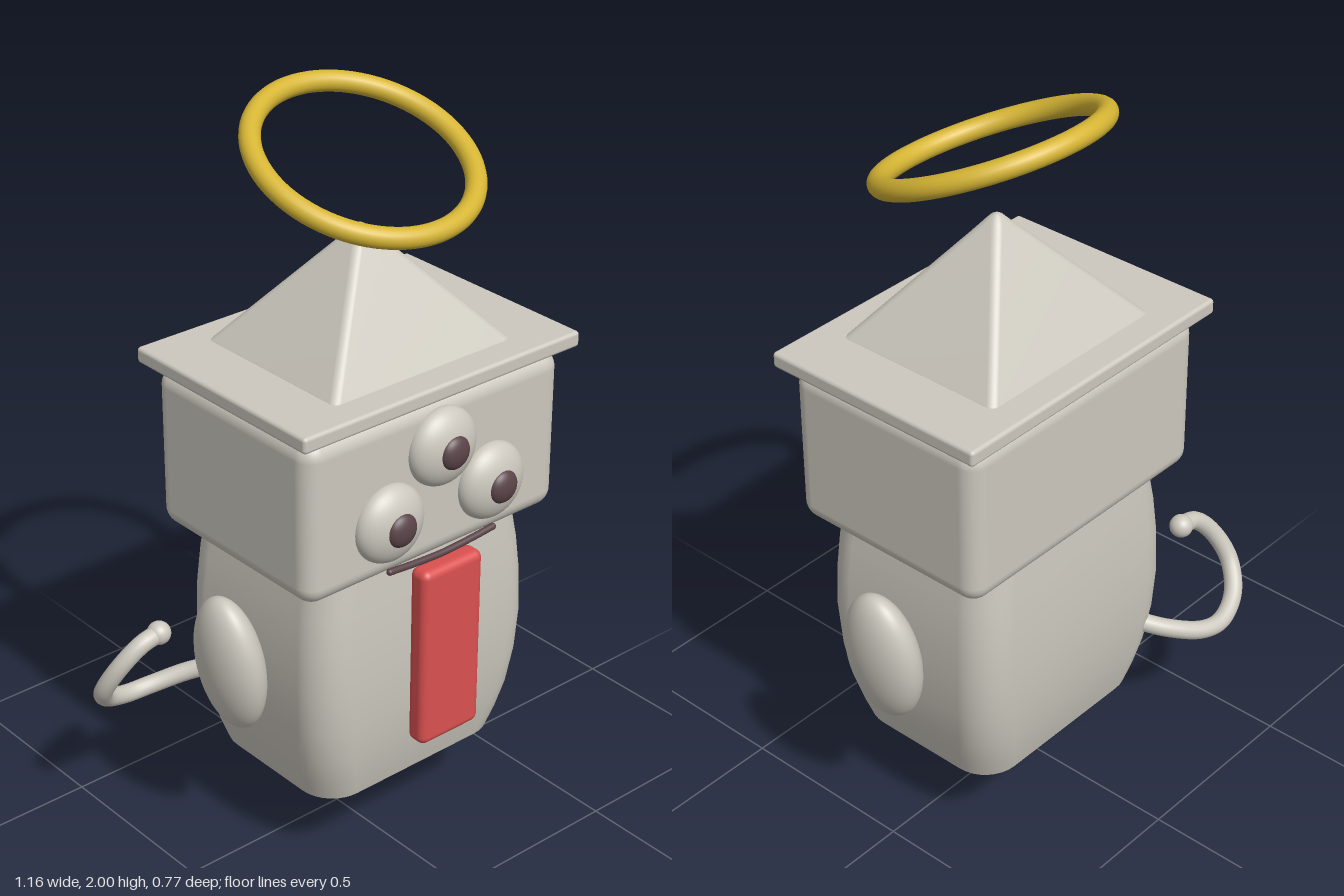
import * as THREE from 'three';
import { RoundedBoxGeometry } from 'three/addons/geometries/RoundedBoxGeometry.js';

const mat = (name, color) => new THREE.MeshStandardMaterial({ name, color });
const CX = 0.07, CZ = 0.005; // centre of the body

// Stacks rounded rectangles [y, halfX, halfZ, cornerRadius], with flat caps
function loft(sections, seg = 8) {
  const pos = [], idx = [], n = 4 * (seg + 1);
  const ring = ([y, hx, hz, r]) => {
    for (let q = 0; q < 4; q++) {
      const sx = q === 0 || q === 3 ? 1 : -1, sz = q < 2 ? 1 : -1;
      for (let k = 0; k <= seg; k++) {
        const t = (q + k / seg) * Math.PI / 2;
        pos.push(sx * (hx - r) + r * Math.cos(t), y, sz * (hz - r) + r * Math.sin(t));
      }
    }
  };
  sections.forEach(ring);
  for (let i = 0; i < sections.length - 1; i++) {
    for (let j = 0; j < n; j++) {
      const a = i * n + j, b = i * n + (j + 1) % n;
      idx.push(a, a + n, b, b, a + n, b + n);
    }
  }
  for (const [s, up] of [[sections[0], false], [sections[sections.length - 1], true]]) {
    const c = pos.length / 3;
    pos.push(0, s[0], 0);
    ring(s);
    for (let j = 0; j < n; j++) {
      const a = c + 1 + j, b = c + 1 + (j + 1) % n;
      if (up) idx.push(c, b, a); else idx.push(c, a, b);
    }
  }
  const g = new THREE.BufferGeometry();
  g.setAttribute('position', new THREE.Float32BufferAttribute(pos, 3));
  g.setIndex(idx);
  g.computeVertexNormals();
  return g;
}

export function createModel() {
  const model = new THREE.Group();
  const stone = mat('warm grey', 0xccc8be);
  const gold = mat('gold', 0xd6b534);
  const red = mat('tongue red', 0xd9504f);
  const dark = mat('dark plum', 0x5a4448);

  const add = (name, geo, material, x = 0, y = 0, z = 0) => {
    const m = new THREE.Mesh(geo, material);
    m.name = name;
    m.position.set(x, y, z);
    model.add(m);
    return m;
  };
  const ellipsoid = (name, material, p, r) => {
    const m = add(name, new THREE.SphereGeometry(1, 40, 28), material, ...p);
    m.scale.set(...r);
    return m;
  };
  const box = (name, material, p, [w, h, d], r) =>
    add(name, new RoundedBoxGeometry(w, h, d, 5, r), material, ...p);

  // Bulging body
  add('body', loft([
    [0.22, 0.309, 0.238, 0.1], [0.28, 0.327, 0.254, 0.1], [0.36, 0.347, 0.27, 0.1],
    [0.46, 0.361, 0.282, 0.1], [0.58, 0.368, 0.288, 0.1], [0.7, 0.364, 0.286, 0.1],
    [0.8, 0.354, 0.281, 0.1], [0.9, 0.338, 0.273, 0.1],
  ]), stone, CX, 0, CZ);

  // Pointed foot with a softened tip
  add('footCone', new THREE.LatheGeometry([
    [0, 0], [0.008, 0.003], [0.016, 0.012], [0.09, 0.107], [0.178, 0.22], [0.178, 0.23],
  ].map(([x, y]) => new THREE.Vector2(x, y)), 48), stone, CX, 0, CZ);

  // Head, brim and pyramid hat
  box('head', stone, [CX - 0.003, 1.108, 0.008], [0.838, 0.446, 0.598], 0.05);
  box('hatBrim', stone, [CX, 1.356, CZ], [0.9, 0.043, 0.65], 0.01);
  add('hatPyramid', loft([
    [1.37, 0.29, 0.245, 0.02], [1.38, 0.288, 0.243, 0.02], [1.64, 0.055, 0.048, 0.02],
    [1.672, 0.027, 0.025, 0.02], [1.684, 0.016, 0.015, 0.014], [1.69, 0.005, 0.005, 0.005],
  ]), stone, CX, 0, CZ);

  // Tilted halo
  const halo = add('halo', new THREE.TorusGeometry(0.281, 0.027, 20, 80), gold, CX, 1.862, 0.017);
  halo.rotation.x = Math.PI / 2 + 0.405;

  // Side arms, leaning outward at the top
  for (const [name, s] of [['leftArm', 1], ['rightArm', -1]]) {
    const arm = ellipsoid(name, stone, [CX + s * 0.432, 0.602, 0.007], [0.072, 0.2, 0.115]);
    arm.rotation.z = -s * 0.13;
  }

  // Three eyes
  for (const [name, x, y] of [['topEye', CX, 1.2], ['leftEye', 0.238, 1.046], ['rightEye', -0.1, 1.046]]) {
    ellipsoid(name, stone, [x, y, 0.31], [0.105, 0.105, 0.058]);
    ellipsoid(name + 'Pupil', dark, [x, y, 0.358], [0.045, 0.045, 0.025]);
  }

  // Mouth line and hanging tongue
  const tube = (name, pts, r, material) => add(name, new THREE.TubeGeometry(
    new THREE.CatmullRomCurve3(pts.map(p => new THREE.Vector3(...p))), 64, r, 16), material);
  const mouth = [[-0.105, 0.914, 0.323], [-0.02, 0.907, 0.323], [CX, 0.903, 0.323],
    [0.16, 0.907, 0.323], [0.242, 0.914, 0.323]];
  tube('mouth', mouth, 0.009, dark);
  for (const i of [0, 4]) ellipsoid('mouthCorner', dark, mouth[i], [0.009, 0.009, 0.009]);
  box('tongue', red, [0.067, 0.64, 0.343], [0.2, 0.514, 0.063], 0.022);

  // Curled tail with a ball end
  const tail = [[-0.2, 0.42, -0.225], [-0.27, 0.385, -0.3], [-0.36, 0.353, -0.352],
    [-0.43, 0.35, -0.362], [-0.51, 0.385, -0.338], [-0.553, 0.45, -0.288],
    [-0.53, 0.535, -0.242], [-0.475, 0.592, -0.22], [-0.418, 0.605, -0.22]];
  tube('tail', tail, 0.025, stone);
  ellipsoid('tailStart', stone, tail[0], [0.025, 0.025, 0.025]);
  ellipsoid('tailBall', stone, tail[8], [0.032, 0.032, 0.032]);

  return model;
}
